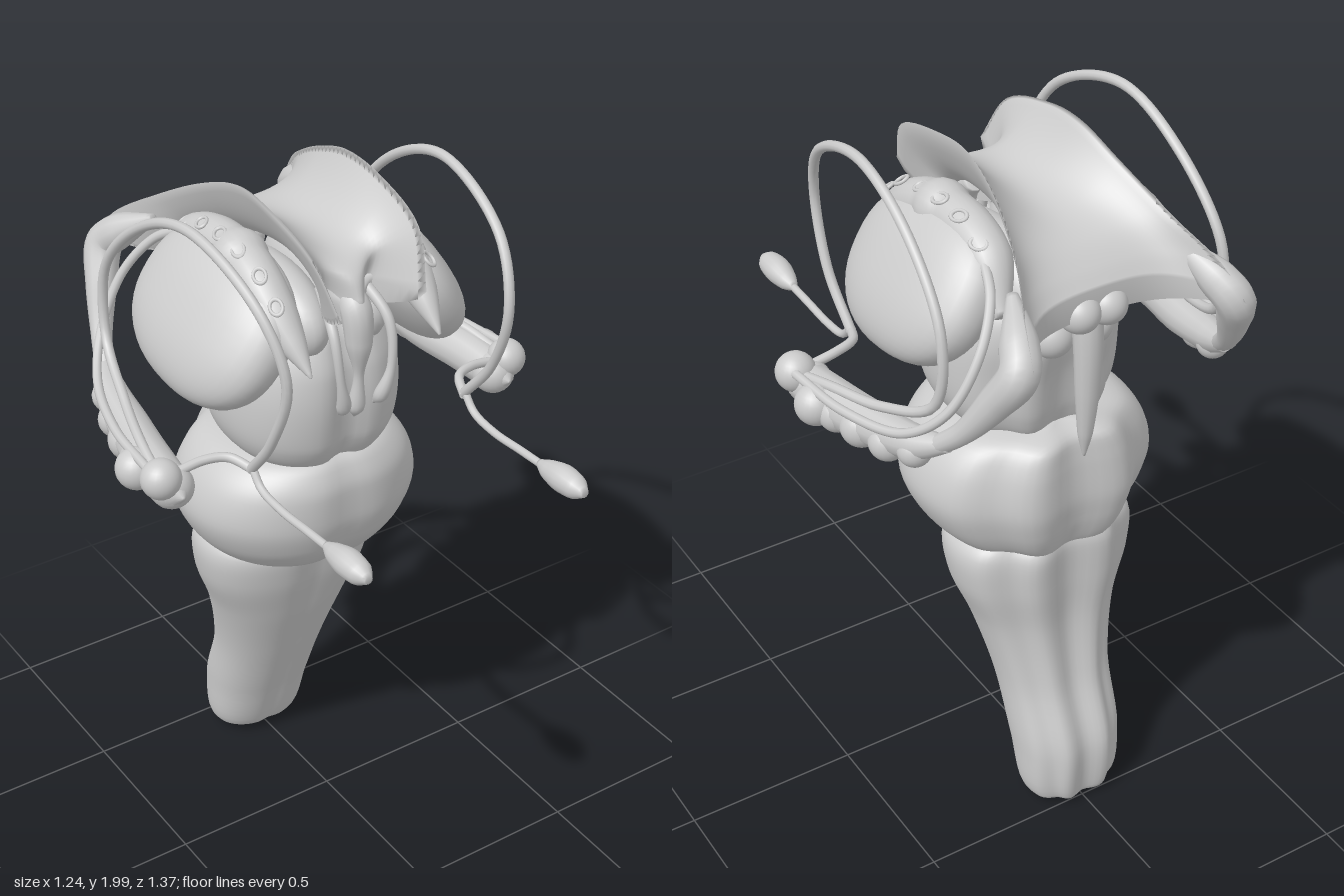
import * as THREE from 'three';

const material = new THREE.MeshStandardMaterial({ color: 0xcccccc, side: THREE.DoubleSide });
const V = (x, y, z) => new THREE.Vector3(x, y, z);
const spline = pts => new THREE.CatmullRomCurve3(pts.map(p => V(...p)));

// Skin a list of closed cross-sections and close both ends
function loft(rings) {
  const n = rings[0].length, last = (rings.length - 1) * n, pos = [], idx = [];
  rings.forEach(r => r.forEach(p => pos.push(p.x, p.y, p.z)));
  for (let i = 0; i < last; i += n) for (let j = 0; j < n; j++) {
    const a = i + j, b = i + (j + 1) % n;
    idx.push(a, a + n, b, b, a + n, b + n);
  }
  for (let k = 0; k < n / 2; k++) {
    const a = k, b = k + 1, c = n - k - 1, d = (n - k) % n;
    idx.push(a, b, c, a, c, d);
    idx.push(last + c, last + b, last + a, last + d, last + c, last + a);
  }
  const g = new THREE.BufferGeometry();
  g.setAttribute('position', new THREE.Float32BufferAttribute(pos, 3));
  g.setIndex(idx);
  g.computeVertexNormals();
  return g;
}

// Round strand along a path, with one radius per path point
function strand(pts, radii, steps = 48, sides = 12) {
  const curve = spline(pts), width = spline(radii.map(r => [r, 0, 0]));
  const frames = curve.computeFrenetFrames(steps, false);
  const rings = [];
  for (let i = 0; i <= steps; i++) {
    const u = i / steps, c = curve.getPointAt(u);
    const r = Math.max(0.002, width.getPoint(curve.getUtoTmapping(u)).x);
    rings.push(Array.from({ length: sides }, (_, j) => {
      const a = j / sides * Math.PI * 2;
      return c.clone().addScaledVector(frames.normals[i], r * Math.cos(a))
        .addScaledVector(frames.binormals[i], -r * Math.sin(a));
    }));
  }
  return loft(rings);
}

// Upright fluted body from rows of [y, half width, front z, back z]
function trunk(rows, frontGroove, flute, power) {
  const size = spline(rows.map(r => [r[0], r[1], 0]));
  const depth = spline(rows.map(r => [r[2], r[3], 0]));
  const rings = [], steps = 40, sides = 72;
  const bend = v => Math.sign(v) * Math.abs(v) ** power;
  for (let i = 0; i <= steps; i++) {
    const s = size.getPoint(i / steps), d = depth.getPoint(i / steps);
    rings.push(Array.from({ length: sides }, (_, j) => {
      const a = j / sides * Math.PI * 2, c = Math.cos(a), sn = Math.sin(a);
      let k = 1;
      if (sn > 0) k -= frontGroove * Math.exp(-((c / 0.16) ** 2));
      else k -= flute * sn * sn * (0.5 + 0.5 * Math.cos(8 * (a - Math.PI * 1.5)));
      return V(s.y * bend(c) * k, s.x, (d.x + d.y) / 2 + (d.x - d.y) / 2 * bend(sn) * k);
    }));
  }
  return loft(rings);
}

// Rounded lump with optional boxiness
function lump(rx, ry, rz, power = 1) {
  const g = new THREE.SphereGeometry(1, 36, 24), p = g.attributes.position;
  const f = v => Math.sign(v) * Math.abs(v) ** power;
  for (let i = 0; i < p.count; i++) p.setXYZ(i, rx * f(p.getX(i)), ry * f(p.getY(i)), rz * f(p.getZ(i)));
  g.computeVertexNormals();
  return g;
}

// Saddle-shaped sheet rising to a crest on each side: [centre y, z, crest x, y, z]
function saddleSheet() {
  const rows = [
    [1.74, 0.165, 0.13, 1.78, 0.26], [1.81, 0.13, 0.16, 1.92, 0.18],
    [1.86, 0, 0.17, 1.99, -0.02], [1.86, -0.15, 0.17, 2.0, -0.16],
    [1.84, -0.29, 0.185, 1.95, -0.31], [1.81, -0.4, 0.23, 1.86, -0.48],
    [1.77, -0.46, 0.285, 1.775, -0.61], [1.73, -0.5, 0.31, 1.69, -0.685]];
  const centre = spline(rows.map(r => [0, r[0], r[1]]));
  const crest = spline(rows.map(r => r.slice(2)));
  const rings = [], n = 32;
  for (let i = 0; i <= 48; i++) {
    const c = centre.getPoint(i / 48), e = crest.getPoint(i / 48), ring = [];
    const notch = 0.09 * Math.max(0, 1 - i / 12);
    for (let j = 0; j < 2 * n; j++) {
      const under = j >= n, u = under ? -1 + 2 * (j - n) / n : 1 - 2 * j / n;
      const drop = under ? 0.012 + 0.06 * (1 - u ** 4) : 0;
      const z = c.z + (e.z - c.z) * u ** 4 - notch * Math.sin(Math.PI * Math.abs(u)) ** 2;
      ring.push(V(u * e.x, c.y + (e.y - c.y) * u * u - drop, z));
    }
    rings.push(ring);
  }
  return loft(rings);
}

export function createModel() {
  const model = new THREE.Group();
  const add = (name, geometry, parent = model, at = [0, 0, 0]) => {
    const m = new THREE.Mesh(geometry, material);
    m.name = name;
    m.position.set(...at);
    parent.add(m);
    return m;
  };

  // Stem, from the bottom up
  add('lowerStem', trunk([
    [0.01, 0.08, -0.36, -0.49], [0.04, 0.136, -0.32, -0.525], [0.2, 0.156, -0.26, -0.535],
    [0.4, 0.166, -0.18, -0.465], [0.6, 0.21, -0.1, -0.435], [0.75, 0.263, -0.05, -0.44],
    [0.86, 0.265, -0.03, -0.44], [0.92, 0.2, -0.06, -0.41]], 0.08, 0.18, 0.9));
  add('middleStem', trunk([
    [0.84, 0.1, -0.06, -0.36], [0.855, 0.19, 0, -0.41], [0.89, 0.26, 0.055, -0.44],
    [0.96, 0.318, 0.105, -0.465], [1.05, 0.348, 0.13, -0.475], [1.15, 0.32, 0.13, -0.465],
    [1.22, 0.25, 0.1, -0.445], [1.25, 0.12, 0.04, -0.36]], 0.05, 0.14, 0.92));
  add('upperStem', trunk([
    [1.19, 0.13, 0.02, -0.3], [1.23, 0.205, 0.085, -0.36], [1.3, 0.242, 0.12, -0.385],
    [1.42, 0.25, 0.135, -0.4], [1.52, 0.235, 0.13, -0.42], [1.6, 0.2, 0.1, -0.41],
    [1.66, 0.11, 0.05, -0.34]], 0.12, 0.12, 0.85));

  // Midline parts
  add('saddleSheet', saddleSheet());
  add('frontDrop', strand([[0, 1.76, 0.08], [0, 1.71, 0.135], [0, 1.62, 0.15], [0, 1.52, 0.15], [0, 1.43, 0.14], [0, 1.39, 0.13]],
    [0.03, 0.042, 0.036, 0.014, 0.024, 0.003]));
  add('rearSpike', strand([[0, 1.75, -0.42], [0, 1.58, -0.455], [0, 1.4, -0.46], [0, 1.27, -0.457], [0, 1.2, -0.455]],
    [0.045, 0.04, 0.032, 0.02, 0.004]));

  // Paired parts, built on +x and mirrored
  for (const s of [1, -1]) {
    const side = new THREE.Group();
    side.name = s > 0 ? 'leftSide' : 'rightSide';
    side.scale.x = s;
    model.add(side);

    add('innerLobe', lump(0.1, 0.14, 0.26), side, [0.09, 1.64, -0.15]);
    add('upperRearBump', lump(0.055, 0.055, 0.06), side, [0.04, 1.66, -0.47]);
    add('lowerRearBump', lump(0.06, 0.06, 0.06), side, [0.06, 1.55, -0.38]);
    add('outerLobe', lump(0.112, 0.22, 0.285, 0.87), side, [0.275, 1.665, -0.12]).rotation.set(0.13, 0, 0.6);

    // Band over the lobe, with a row of small openings
    add('lobeBand', strand([[0.2, 1.62, 0.23], [0.205, 1.68, 0.16], [0.21, 1.735, 0.09], [0.21, 1.785, 0.02], [0.205, 1.815, -0.06],
      [0.2, 1.822, -0.14], [0.2, 1.817, -0.23], [0.205, 1.785, -0.32], [0.23, 1.68, -0.42]],
    [0.004, 0.035, 0.056, 0.062, 0.065, 0.065, 0.064, 0.06, 0.02], 64, 20), side);
    [[1.785, 0.125], [1.84, 0.05], [1.869, -0.05], [1.878, -0.14], [1.872, -0.23], [1.838, -0.32]].forEach(([y, z]) => {
      const ring = add('bandOpening', new THREE.TorusGeometry(0.018, 0.005, 8, 20), side, [0.235, y, z]);
      ring.quaternion.setFromUnitVectors(V(0, 0, 1), V(0.5, 1, (z + 0.15) * 2.4).normalize());
      ring.scale.set(0.9, 1.2, 1);
    });

    add('frontColumn', strand([[0.06, 1.76, 0.06], [0.085, 1.67, 0.16], [0.08, 1.55, 0.185], [0.06, 1.46, 0.17], [0.055, 1.42, 0.14]],
      [0.016, 0.014, 0.012, 0.02, 0.004]), side);
    add('sheetHorn', strand([[0.24, 1.78, -0.48], [0.29, 1.71, -0.59], [0.315, 1.665, -0.63], [0.355, 1.57, -0.585], [0.4, 1.46, -0.515], [0.44, 1.38, -0.43]],
      [0.015, 0.05, 0.052, 0.044, 0.03, 0.025]), side);

    // Beaded arm ending in a cluster of balls
    add('beadedArm', strand([[0.42, 1.41, -0.48], [0.455, 1.37, -0.38], [0.485, 1.34, -0.22], [0.515, 1.33, -0.06], [0.525, 1.32, 0.08], [0.525, 1.32, 0.13]],
      [0.02, 0.045, 0.058, 0.062, 0.056, 0.004]), side);
    [[0.46, 1.35, -0.38, 0.046], [0.485, 1.33, -0.29, 0.052], [0.505, 1.325, -0.19, 0.057], [0.525, 1.32, -0.1, 0.053],
      [0.56, 1.33, -0.05, 0.058], [0.52, 1.32, 0.06, 0.06], [0.555, 1.36, 0.07, 0.055]].forEach(([x, y, z, r]) =>
      add('armBead', new THREE.SphereGeometry(r, 24, 16), side, [x, y, z]));

    // Thin strands and the front bulb
    const thin = (name, pts, r) => add(name, new THREE.TubeGeometry(spline(pts), 80, r, 10), side);
    thin('loopStrand', [[0.34, 1.36, 0.16], [0.345, 1.5, 0.27], [0.34, 1.7, 0.335], [0.365, 1.87, 0.25], [0.39, 1.975, -0.02],
      [0.4, 1.89, -0.26], [0.415, 1.7, -0.44], [0.43, 1.5, -0.43], [0.48, 1.41, -0.25], [0.53, 1.39, -0.08], [0.555, 1.36, 0.06]], 0.014);
    thin('innerStrand', [[0.575, 1.38, 0.04], [0.55, 1.38, -0.18], [0.49, 1.41, -0.38], [0.42, 1.5, -0.475], [0.34, 1.64, -0.49],
      [0.27, 1.75, -0.43], [0.23, 1.81, -0.33]], 0.013);
    thin('linkStrand', [[0.335, 1.36, 0.17], [0.37, 1.375, 0.1], [0.43, 1.375, 0.075], [0.53, 1.36, 0.07]], 0.013);
    thin('bulbStalk', [[0.34, 1.37, 0.165], [0.34, 1.325, 0.21], [0.338, 1.31, 0.3], [0.337, 1.315, 0.42], [0.336, 1.32, 0.54]], 0.011);
    add('frontBulb', strand([[0.336, 1.32, 0.5], [0.336, 1.32, 0.54], [0.336, 1.325, 0.6], [0.336, 1.325, 0.65], [0.336, 1.325, 0.685]],
      [0.011, 0.028, 0.038, 0.033, 0.012], 24, 16), side);
  }
  return model;
}
